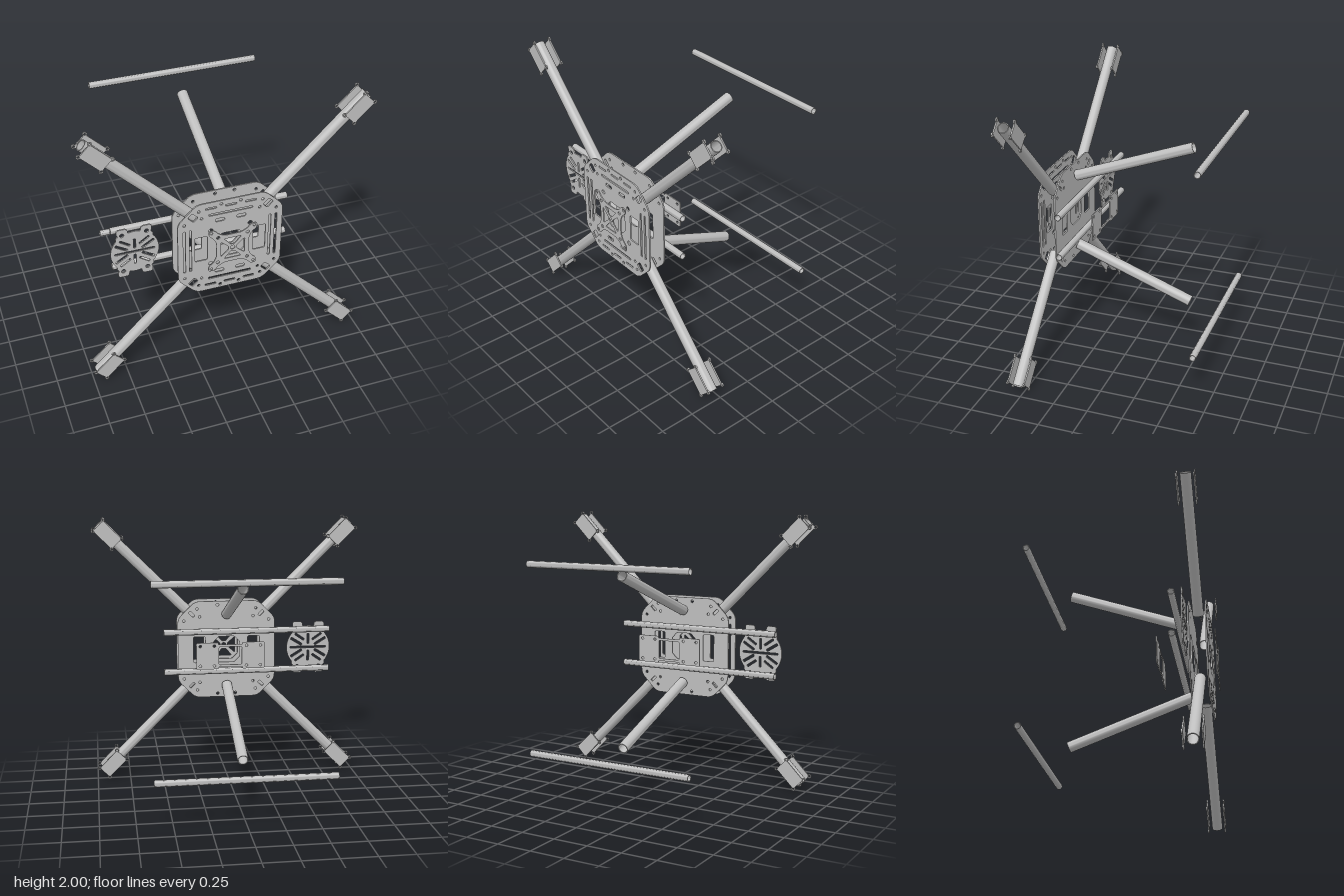
import * as THREE from 'three';
import { toCreasedNormals } from 'three/addons/utils/BufferGeometryUtils.js';

const grey = new THREE.MeshStandardMaterial({ color: 0xbebebe });
grey.name = 'satin grey';
const V = (x, y, z) => new THREE.Vector3(x, y, z);
const SIGNS = [[1, 1], [-1, 1], [-1, -1], [1, -1]];

// Polygon with rounded corners, usable as an outline or a hole
function roundedPoly(pts, r, Type = THREE.Path) {
  const p = pts.map(([x, y]) => new THREE.Vector2(x, y));
  const path = new Type();
  p.forEach((c, i) => {
    const prev = p[(i + p.length - 1) % p.length], next = p[(i + 1) % p.length];
    const toward = (q) => c.clone().lerp(q, Math.min(0.45, r / c.distanceTo(q)));
    const a = toward(prev), b = toward(next);
    if (i === 0) path.moveTo(a.x, a.y); else path.lineTo(a.x, a.y);
    path.quadraticCurveTo(c.x, c.y, b.x, b.y);
  });
  path.closePath();
  return path;
}

// Turned rectangular slot with soft ends
function slot(x, y, w, h, angle = 0, r = Math.min(w, h) * 0.45) {
  const c = Math.cos(angle), s = Math.sin(angle);
  return roundedPoly(SIGNS.map(([i, j]) => {
    const u = i * w / 2, v = j * h / 2;
    return [x + u * c - v * s, y + u * s + v * c];
  }), r);
}

const hole = (x, y, r) => new THREE.Path().absarc(x, y, r, 0, Math.PI * 2);

// Flat plate cut from a shape, centred on its own z
function plate(name, shape, holes, z, depth = 0.01) {
  shape.holes.push(...holes);
  const geo = new THREE.ExtrudeGeometry(shape, { depth, bevelEnabled: false, curveSegments: 8 });
  geo.translate(0, 0, -depth / 2);
  const mesh = new THREE.Mesh(geo, grey);
  mesh.name = name;
  mesh.position.set(0, 1, z);
  return mesh;
}

// Hollow tube between two points
function tube(name, a, b, r, wall = 0.006) {
  const h = a.distanceTo(b) / 2, q = r - wall;
  const profile = [[r, -h], [r, h], [q, h], [q, -h], [r, -h]].map(([x, y]) => new THREE.Vector2(x, y));
  const mesh = new THREE.Mesh(toCreasedNormals(new THREE.LatheGeometry(profile, 32), 0.6), grey);
  mesh.name = name;
  mesh.position.copy(a).add(b).multiplyScalar(0.5);
  mesh.quaternion.setFromUnitVectors(V(0, 1, 0), b.clone().sub(a).normalize());
  return mesh;
}

// Rectangular motor plate with a round ear at each corner
function motorShape() {
  const s = new THREE.Shape(), a = 0.095, b = 0.053, r = 0.015;
  SIGNS.forEach(([i, j], k) => {
    const mid = Math.PI / 4 + k * Math.PI / 2;
    s.absarc(i * a, j * b, r, mid - Math.PI * 0.75, mid + Math.PI * 0.75);
  });
  s.closePath();
  return s;
}

// Chamfered square outline of the main deck
function deckShape() {
  const a = 0.372, b = 0.24;
  return roundedPoly([[a, -b], [a, b], [b, a], [-b, a], [-a, b], [-a, -b], [-b, -a], [b, -a]], 0.04, THREE.Shape);
}

// Openings shared by both decks
function deckHoles() {
  const list = [roundedPoly([[0.1, -0.06], [0.1, 0.06], [0.06, 0.1], [-0.06, 0.1],
    [-0.1, 0.06], [-0.1, -0.06], [-0.06, -0.1], [0.06, -0.1]], 0.01)];
  for (const i of [1, -1]) list.push(slot(i * 0.208, 0, 0.09, 0.2, 0, 0.012));
  for (const [i, j] of SIGNS) {
    list.push(hole(i * 0.225, j * 0.315, 0.01), hole(i * 0.325, j * 0.225, 0.01),
      hole(i * 0.205, j * 0.255, 0.01), hole(i * 0.068, j * 0.345, 0.011));
  }
  return list;
}

export function createModel() {
  const model = new THREE.Group();
  model.name = 'multirotorFrame';

  // Decks: the front one is heavily slotted
  const slots = [];
  for (const s of [1, -1]) {
    slots.push(slot(s * 0.326, 0, 0.016, 0.35), slot(s * 0.283, 0, 0.016, 0.35));
    slots.push(slot(0, s * 0.27, 0.31, 0.016), slot(0, s * 0.325, 0.08, 0.014));
  }
  for (const [i, j] of SIGNS) {
    slots.push(slot(i * 0.265, j * 0.275, 0.06, 0.045, i * j * Math.PI / 4, 0.012));
    slots.push(slot(i * 0.14, j * 0.325, 0.08, 0.014), slot(i * 0.075, j * 0.217, 0.065, 0.025));
    slots.push(slot(i * 0.14, j * 0.14, 0.03, 0.03, Math.PI / 4));
  }
  model.add(plate('frontDeck', deckShape(), [...deckHoles(), ...slots], 0.597));
  const corners = SIGNS.map(([i, j]) => slot(i * 0.265, j * 0.275, 0.05, 0.02, i * j * Math.PI / 4));
  model.add(plate('rearDeck', deckShape(), [...deckHoles(), ...corners], 0.475));

  // Cross-shaped controller plate in front of the deck
  const quarter = [[0.115, 0.055], [0.135, 0.1], [0.172, 0.13], [0.172, 0.17],
    [0.13, 0.17], [0.1, 0.135], [0.055, 0.115]];
  const outline = [];
  for (let k = 0; k < 4; k++) {
    for (const [x, y] of quarter) outline.push([[x, y], [-y, x], [-x, -y], [y, -x]][k]);
  }
  const crossHoles = [hole(0, 0, 0.016)];
  for (let k = 0; k < 4; k++) {
    const c = Math.round(Math.cos(k * Math.PI / 2)), s = Math.round(Math.sin(k * Math.PI / 2));
    const tri = [[0.03, -0.014], [0.085, -0.062], [0.085, 0.062], [0.03, 0.014]];
    crossHoles.push(roundedPoly(tri.map(([x, y]) => [x * c - y * s, x * s + y * c]), 0.008));
  }
  for (const [i, j] of SIGNS) {
    crossHoles.push(hole(i * 0.152, j * 0.152, 0.01), hole(i * 0.105, j * 0.105, 0.012));
  }
  model.add(plate('controllerPlate', roundedPoly(outline, 0.018, THREE.Shape), crossHoles, 0.645, 0.008));

  // Plate behind the decks, with a central opening
  const back = roundedPoly([[0.255, -0.1], [0.255, 0.1], [0.09, 0.1], [0.09, 0.085], [-0.09, 0.085],
    [-0.09, 0.1], [-0.255, 0.1], [-0.255, -0.1], [-0.09, -0.1], [-0.09, -0.085], [0.09, -0.085],
    [0.09, -0.1]], 0.01, THREE.Shape);
  const backHoles = [slot(0, 0, 0.17, 0.135, 0, 0.01)];
  for (const [i, j] of SIGNS) backHoles.push(hole(i * 0.225, j * 0.075, 0.01), hole(i * 0.12, j * 0.075, 0.01));
  model.add(plate('batteryPlate', back, backHoles, 0.24, 0.008));

  // Round side plate with four tabs
  const R = 0.168, a0 = Math.acos(0.128 / R), a1 = Math.acos(0.042 / R), disc = new THREE.Shape();
  const tab = (c, s) => {
    // Tab outline runs anticlockwise from edge c to edge -c, on side s
    const e = [[0.128, 0.13], [0.115, 0.145], [0.122, 0.165], [0.122, 0.188], [0.11, 0.2],
      [0.06, 0.2], [0.046, 0.188], [0.042, 0.163]];
    (c * s > 0 ? e : e.reverse()).forEach(([x, y]) => disc.lineTo(c * x, s * y));
  };
  disc.absarc(0, 0, R, -a0, a0);
  tab(1, 1);
  disc.absarc(0, 0, R, a1, Math.PI - a1);
  tab(-1, 1);
  disc.absarc(0, 0, R, Math.PI - a0, Math.PI + a0);
  tab(-1, -1);
  disc.absarc(0, 0, R, Math.PI + a1, Math.PI * 2 - a1);
  tab(1, -1);
  disc.closePath();
  const discHoles = [slot(0, 0, 0.28, 0.014)];
  for (const s of [1, -1]) discHoles.push(slot(0, s * 0.066, 0.016, 0.08));
  for (const [i, j] of SIGNS) {
    discHoles.push(hole(i * 0.085, j * 0.152, 0.015));
    discHoles.push(slot(i * 0.067, j * 0.082, 0.085, 0.016, i * j * 0.6));
    discHoles.push(slot(i * 0.092, j * 0.046, 0.1, 0.018, i * j * 0.55));
  }
  const side = plate('sidePlate', disc, discHoles, 0.472);
  side.position.x = -0.633;
  model.add(side);

  // Diagonal arms, each clamped between two motor plates
  for (const [i, j] of SIGNS) {
    model.add(tube('arm', V(i * 0.243, 1 + j * 0.243, 0.537), V(i * 0.953, 1 + j * 0.953, 0.537), 0.039));
    for (const z of [0.475, 0.597]) {
      const holes = SIGNS.map(([u, v]) => hole(u * 0.095, v * 0.053, 0.008));
      const mount = plate('motorPlate', motorShape(), holes, z);
      mount.position.set(i * 0.881, 1 + j * 0.881, z);
      mount.rotation.z = Math.atan2(j, i);
      model.add(mount);
    }
  }

  // Rails, slanting legs and landing skids
  for (const s of [1, -1]) {
    model.add(tube('rail', V(-0.78, 1 + s * 0.152, 0.404), V(0.483, 1 + s * 0.152, 0.404), 0.024, 0.004));
    model.add(tube('leg', V(0, 1 + s * 0.275, 0.456), V(0, 1 + s * 0.6, -0.419), 0.039));
    model.add(tube('skid', V(-0.633, 1 + s * 0.67, -0.624), V(0.63, 1 + s * 0.67, -0.624), 0.024, 0.004));
  }
  return model;
}
